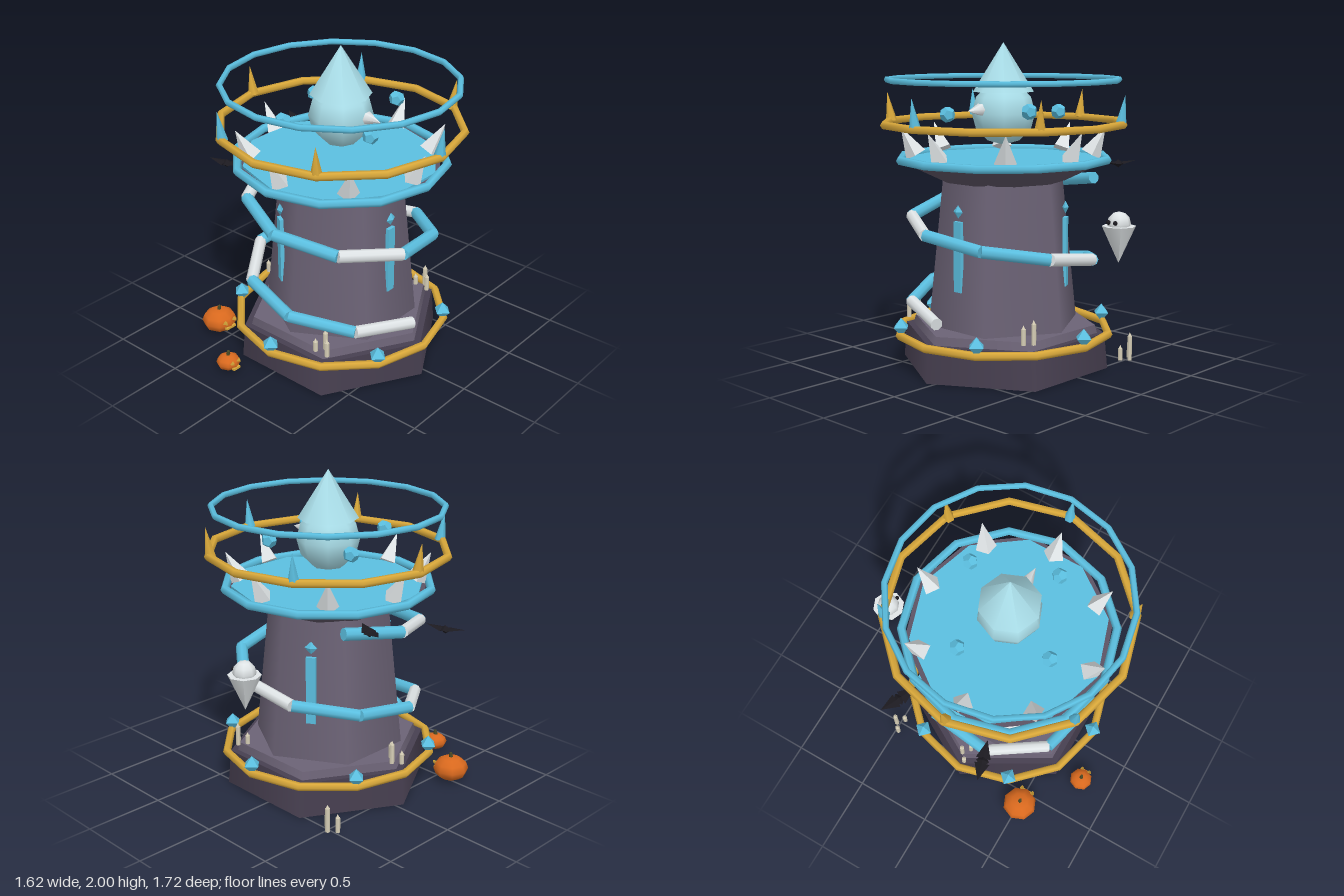
import * as THREE from 'three';

const mat = (color, flatShading = false) => new THREE.MeshStandardMaterial({ color, flatShading });
const stone = mat(0x6b6275), darkStone = mat(0x473f50), corbelStone = mat(0x5c5364);
const blue = mat(0x5bbfe0), blueFlat = mat(0x5bbfe0, true), gold = mat(0xd9a83a);
const white = mat(0xdfe4e6), whiteFlat = mat(0xdfe4e6, true), ice = mat(0xa9dde8);
const orange = mat(0xd9691e), black = mat(0x1c1a20, true), wax = mat(0xd8d0b8), stemMat = mat(0x4a4a26);

const UP = new THREE.Vector3(0, 1, 0);
const v = (x, y, z) => new THREE.Vector3(x, y, z);
// angle is measured from +x towards +z
const polar = (deg, r, y) => {
  const a = THREE.MathUtils.degToRad(deg);
  return v(Math.cos(a) * r, y, Math.sin(a) * r);
};

function add(parent, name, geometry, material, pos = v(0, 0, 0)) {
  const mesh = new THREE.Mesh(geometry, material);
  mesh.name = name;
  mesh.position.copy(pos);
  parent.add(mesh);
  return mesh;
}

// tapered round bar from a to b
function bar(parent, name, a, b, ra, rb, sides, material) {
  const d = b.clone().sub(a);
  const mesh = add(parent, name, new THREE.CylinderGeometry(rb, ra, d.length(), sides), material, a.clone().add(b).multiplyScalar(0.5));
  mesh.quaternion.setFromUnitVectors(UP, d.normalize());
  return mesh;
}

function drum(parent, name, rTop, rBottom, y0, y1, sides, material, turn = 0) {
  const mesh = add(parent, name, new THREE.CylinderGeometry(rTop, rBottom, y1 - y0, sides), material, v(0, (y0 + y1) / 2, 0));
  mesh.rotation.y = turn;
}

function ring(parent, name, r, tube, y, segments, material) {
  add(parent, name, new THREE.TorusGeometry(r, tube, 6, segments).rotateX(Math.PI / 2), material, v(0, y, 0));
}

function candles(parent, pos, heights, step) {
  const g = new THREE.Group();
  g.name = 'candleCluster';
  g.position.copy(pos);
  heights.forEach((h, i) => {
    const p = v((i - 1) * step, 0, i === 1 ? -0.02 : 0.02);
    bar(g, 'candle', p, v(p.x, h - 0.025, p.z), 0.015, 0.015, 6, wax);
    bar(g, 'flame', v(p.x, h - 0.025, p.z), v(p.x, h, p.z), 0.012, 0, 6, wax);
  });
  parent.add(g);
}

function pumpkin(parent, pos, r, squash) {
  const g = new THREE.Group();
  g.name = 'pumpkin';
  g.position.copy(pos);
  add(g, 'pumpkinBody', new THREE.SphereGeometry(r, 8, 6).scale(1, squash, 1), orange);
  bar(g, 'pumpkinStem', v(0, r * squash * 0.9, 0), v(0.005, r * squash + 0.025, 0), 0.014, 0.01, 5, stemMat);
  // carved face towards the tower
  for (const s of [-1, 1]) bar(g, 'pumpkinEye', v(r * 0.8, 0.02, s * r * 0.35), v(r, 0.02, s * r * 0.35), 0.018, 0.01, 3, gold);
  add(g, 'pumpkinMouth', new THREE.BoxGeometry(0.02, 0.015, r * 0.7), gold, v(r * 0.9, -0.02, 0));
  parent.add(g);
}

function bat(parent, pos, turn) {
  const g = new THREE.Group();
  g.name = 'bat';
  g.position.copy(pos);
  g.rotation.y = turn;
  add(g, 'batBody', new THREE.OctahedronGeometry(0.04).scale(1, 0.65, 1), black);
  for (const s of [-1, 1]) {
    const wing = add(g, 'batWing', new THREE.ConeGeometry(0.045, 0.11, 4).scale(1, 1, 0.25).rotateX(Math.PI / 2)
      .rotateY(s * Math.PI / 2), black, v(s * 0.07, 0.008, 0));
    wing.rotation.z = s * 0.15;
    // swept wing roots lie flat
    wing.geometry.computeVertexNormals();
  }
  parent.add(g);
}

export function createModel() {
  const model = new THREE.Group();
  model.name = 'tower';
  const tower = new THREE.Group();
  tower.name = 'towerBody';
  tower.position.set(0.05, 0, 0.045);
  model.add(tower);

  // masonry
  drum(tower, 'base', 0.64, 0.66, 0, 0.22, 6, darkStone, Math.PI / 6);
  drum(tower, 'step', 0.58, 0.6, 0.2, 0.27, 6, stone, Math.PI / 6);
  drum(tower, 'shaft', 0.385, 0.48, 0.27, 1.17, 6, stone);
  drum(tower, 'corbel', 0.63, 0.38, 1.16, 1.28, 10, corbelStone);
  drum(tower, 'platform', 0.6, 0.6, 1.27, 1.295, 10, blue);

  // rings
  ring(tower, 'baseRing', 0.665, 0.026, 0.215, 12, gold);
  ring(tower, 'platformRing', 0.645, 0.027, 1.295, 12, blue);
  ring(tower, 'spikedRing', 0.74, 0.025, 1.51, 12, gold);
  ring(tower, 'upperRing', 0.71, 0.019, 1.775, 16, blue);

  // gems on the base ring, spikes on the floating ring
  for (let i = 0; i < 6; i++) {
    add(tower, 'ringGem', new THREE.OctahedronGeometry(0.058), blueFlat, polar(30 + i * 60, 0.656, 0.27));
    bar(tower, 'ringSpike', polar(i * 60, 0.725, 1.51), polar(i * 60, 0.75, 1.69), 0.036, 0, 6, i % 2 ? gold : blue);
  }

  // pale fangs leaning out around the platform
  for (let i = 0; i < 8; i++) {
    const holder = new THREE.Group();
    holder.name = 'fangHolder';
    holder.rotation.y = i * Math.PI / 4;
    bar(holder, 'fang', v(0.54, 1.315, 0), v(0.63, 1.485, 0), 0.066, 0, 4, whiteFlat);
    tower.add(holder);
  }

  // slit windows with a gem above
  for (let i = 0; i < 3; i++) {
    const holder = new THREE.Group();
    holder.name = 'window';
    holder.rotation.y = i * Math.PI * 2 / 3;
    add(holder, 'windowSlit', new THREE.BoxGeometry(0.024, 0.43, 0.06), blue, v(0.391, 0.725, 0));
    add(holder, 'windowGem', new THREE.OctahedronGeometry(0.04).scale(0.5, 1, 1), blueFlat, v(0.391, 1, 0));
    tower.add(holder);
  }

  // pipe winding up the shaft
  const turn = 576 / 14, pipeAt = k => polar(k * turn, 0.575, 0.345 + k * 0.058);
  for (let k = 0; k < 14; k++) {
    bar(tower, 'spiralPipe', pipeAt(k), pipeAt(k + 1), 0.038, 0.038, 8, k % 3 ? blue : white);
  }

  // hooded crystal head
  add(tower, 'head', new THREE.SphereGeometry(0.195, 8, 6), ice, v(0, 1.57, 0));
  add(tower, 'hood', new THREE.ConeGeometry(0.187, 0.3, 8), ice, v(0, 1.85, 0));
  bar(tower, 'nose', v(0.2, 1.6, 0), v(0.305, 1.595, 0), 0.04, 0, 6, white);

  // floating stones around the head
  [[0.147, -0.35, 1.6], [-0.34, -0.15, 1.57], [0.34, 0.14, 1.57], [-0.147, 0.345, 1.6]].forEach(([x, z, y]) =>
    add(tower, 'floatingStone', new THREE.DodecahedronGeometry(0.049), blueFlat, v(x, y, z)));

  // candles on the step and on the ground
  for (const a of [60, 180, 300]) candles(tower, polar(a, 0.575, 0.26), [0.09, 0.15, 0.12], 0.045);
  candles(model, v(-0.515, 0, -0.5), [0.12, 0.18, 0.1], 0.045);

  // props around the tower
  pumpkin(model, v(-0.6, 0.085, 0.51), 0.112, 0.7);
  pumpkin(model, v(-0.24, 0.06, 0.785), 0.075, 0.7);
  bat(model, v(-0.64, 1.23, -0.31), -0.44);
  bat(model, v(-0.69, 1.11, 0.29), 0.28);

  // drifting ghost
  const ghost = new THREE.Group();
  ghost.name = 'ghost';
  ghost.position.set(-0.08, 0, -0.76);
  add(ghost, 'ghostHead', new THREE.SphereGeometry(0.07, 8, 6), white, v(0, 0.96, 0));
  bar(ghost, 'ghostTail', v(0, 0.945, 0), v(0, 0.725, 0), 0.1, 0, 8, white);
  for (const s of [-1, 1]) add(ghost, 'ghostEye', new THREE.SphereGeometry(0.014, 6, 5), black, v(0.066, 0.97, s * 0.025));
  model.add(ghost);

  return model;
}
